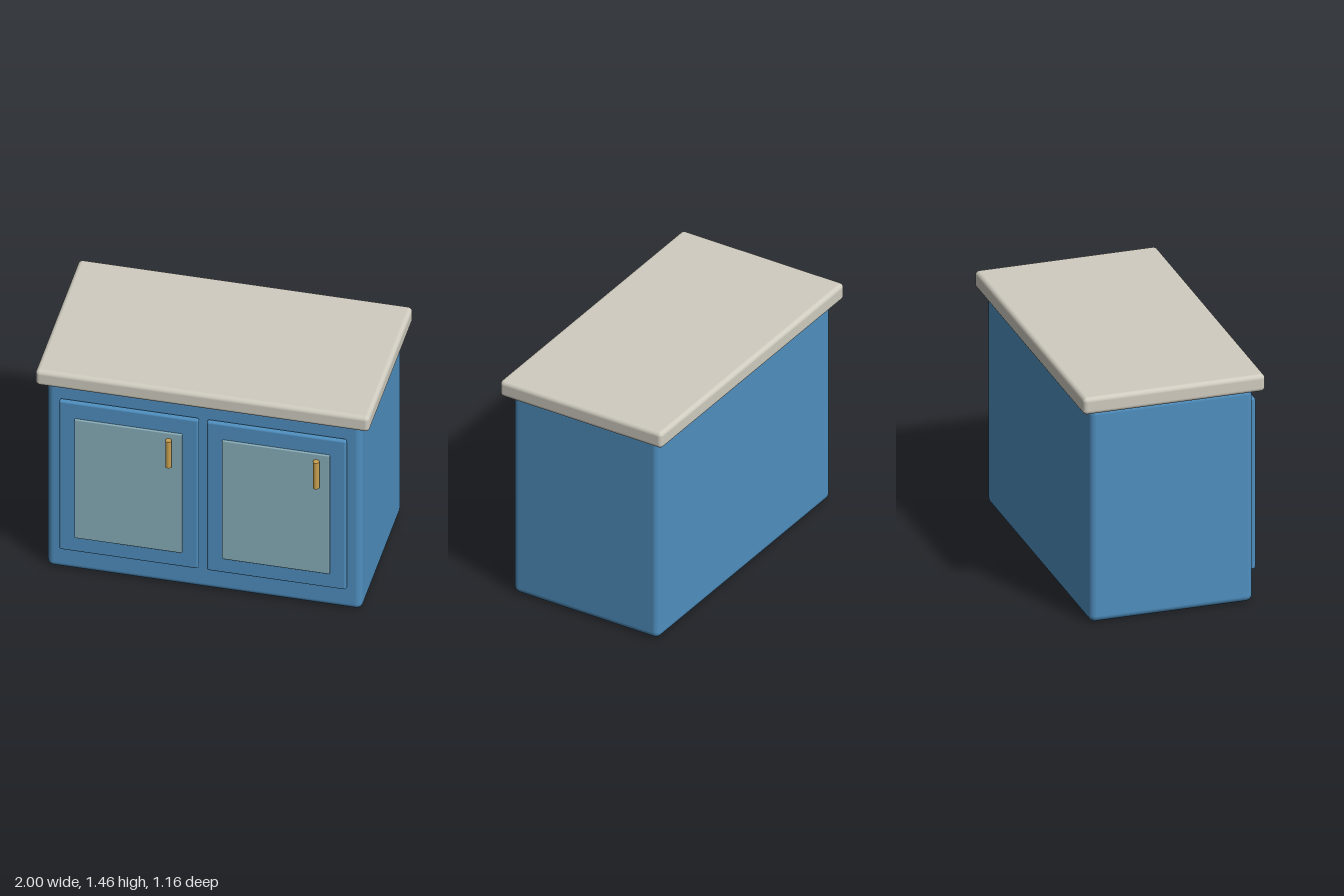
import * as THREE from 'three';
import { RoundedBoxGeometry } from 'three/addons/geometries/RoundedBoxGeometry.js';

function material(name, color) {
  const m = new THREE.MeshStandardMaterial({ color });
  m.name = name;
  return m;
}

// Rounded box given by its minimum and maximum corners
function slab(name, min, max, radius, mat) {
  const size = max.map((v, i) => v - min[i]);
  const mesh = new THREE.Mesh(new RoundedBoxGeometry(...size, 4, radius), mat);
  mesh.position.set(...max.map((v, i) => (v + min[i]) / 2));
  mesh.name = name;
  return mesh;
}

export function createModel() {
  const blue = material('blue paint', 0x4f8fbf);
  const stone = material('pale stone', 0xd0ccc0);
  const glass = material('blue-grey panel', 0x87adba);
  const brass = material('brass', 0xc9a050);

  const model = new THREE.Group();
  model.name = 'cabinet';

  // Carcass and overhanging worktop
  model.add(
    slab('carcass', [-0.943, 0, -0.521], [0.943, 1.355, 0.483], 0.04, blue),
    slab('worktop', [-1, 1.35, -0.58], [1, 1.458, 0.54], 0.027, stone)
  );

  // Two identical doors, both with the handle on the same side
  for (const [name, x] of [['rightDoor', -0.442], ['leftDoor', 0.442]]) {
    const door = new THREE.Group();
    door.name = name;
    door.position.x = x;

    const handle = new THREE.Mesh(new THREE.CylinderGeometry(0.019, 0.019, 0.19, 16), brass);
    handle.name = 'handle';
    handle.position.set(0.247, 1.011, 0.561);

    door.add(
      slab('doorFrame', [-0.418, 0.167, 0.493], [0.418, 1.255, 0.526], 0.014, blue),
      slab('doorPanel', [-0.323, 0.279, 0.526], [0.323, 1.145, 0.543], 0.007, glass),
      handle
    );
    model.add(door);
  }
  return model;
}
